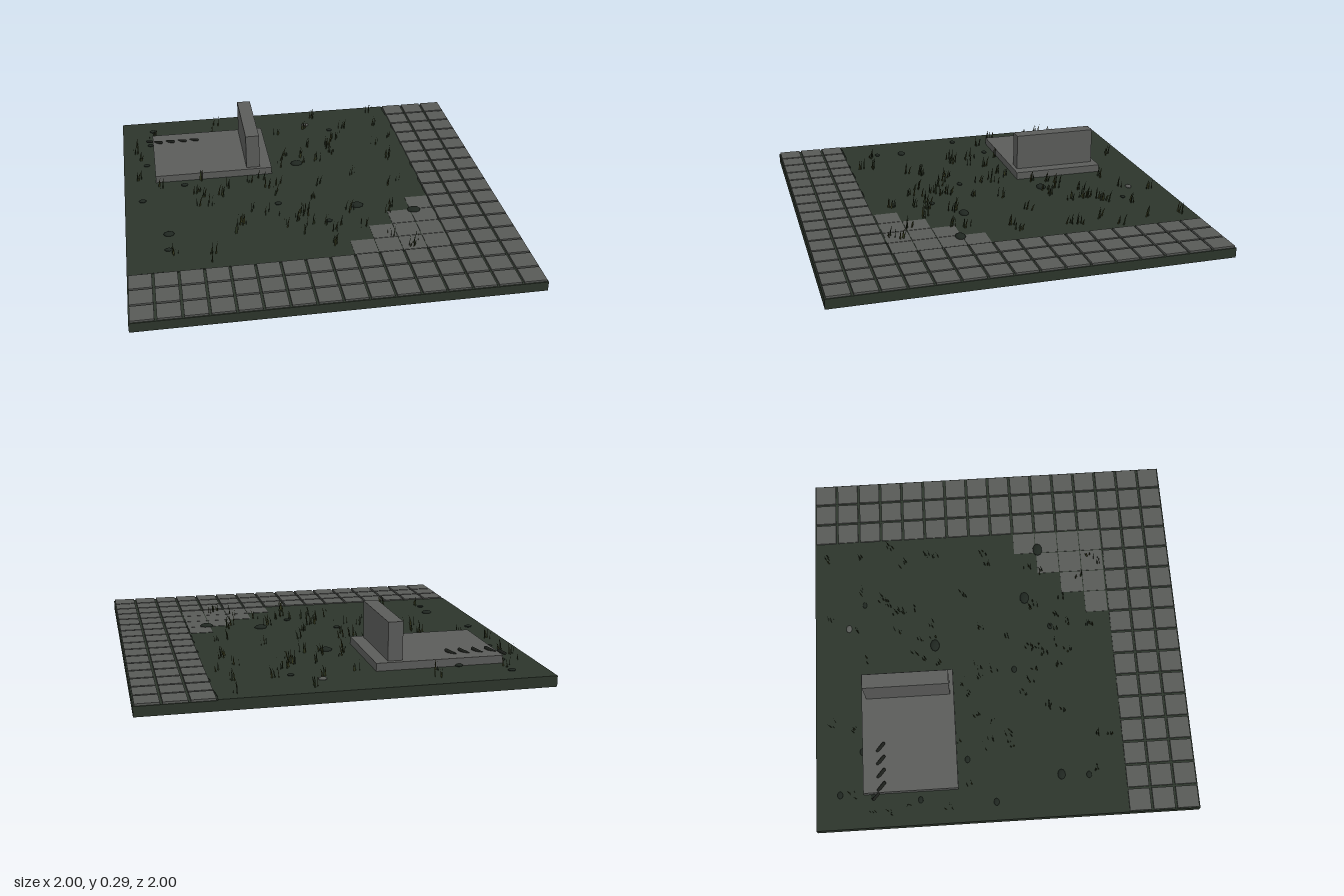
import * as THREE from 'three';
import { mergeGeometries } from 'three/addons/utils/BufferGeometryUtils.js';

const mat = (name, color, side = THREE.FrontSide) => {
  const m = new THREE.MeshStandardMaterial({ color, side });
  m.name = name;
  return m;
};

export function createModel() {
  const group = new THREE.Group();
  const earth = mat('dark moss', 0x2c352b);
  const paving = mat('paving grey', 0x585a57);
  const slabGrey = mat('slab grey', 0x5b5c5a);
  const pebble = mat('dark pebble', 0x1f2620);
  const finger = mat('dark finger', 0x1c1f1b);
  const olive = mat('olive grass', 0x35381c, THREE.DoubleSide);
  const green = mat('green grass', 0x26301c, THREE.DoubleSide);

  const add = (name, geometry, material) => {
    const mesh = new THREE.Mesh(geometry, material);
    mesh.name = name;
    group.add(mesh);
    return mesh;
  };
  // Box given by its low and high corners
  const box = (x0, y0, z0, x1, y1, z1) =>
    new THREE.BoxGeometry(x1 - x0, y1 - y0, z1 - z0)
      .translate((x0 + x1) / 2, (y0 + y1) / 2, (z0 + z1) / 2);

  let seed = 17;
  const rand = () => {
    seed = (seed * 16807) % 2147483647;
    return seed / 2147483647;
  };

  // Ground plate and raised soil with a ragged edge
  add('basePlate', box(-1, 0, -1, 1, 0.05, 1), earth);
  const edge = new THREE.Shape();
  edge.moveTo(-1, 1);
  edge.lineTo(0.625, 1);
  for (let z = -0.95; z < 0.6; z += 0.06) edge.lineTo(0.622 + rand() * 0.014, -z);
  for (let x = 0.62; x > -0.97; x -= 0.06) edge.lineTo(x, -0.622 - rand() * 0.014);
  edge.lineTo(-1, -0.63);
  const soil = new THREE.ExtrudeGeometry(edge, { depth: 0.006, bevelEnabled: false });
  add('soil', soil.rotateX(-Math.PI / 2).translate(0, 0.049, 0), earth);

  // Paving along two sides, with a stepped inner corner
  const tiles = [], steps = [];
  const p = 0.125;
  for (let i = 0; i < 16; i++) {
    for (let j = 0; j < 16; j++) {
      const x = -1 + i * p, z = -1 + j * p;
      if (i >= 13 || j >= 13) {
        tiles.push(box(x + 0.006, 0.045, z + 0.006, x + p - 0.006, 0.06, z + p - 0.006));
      } else if (i + j >= 21) {
        steps.push(box(x + 0.002, 0.045, z + 0.002, x + p - 0.002, 0.057, z + p - 0.002));
      }
    }
  }
  add('pavingTiles', mergeGeometries(tiles), paving);
  add('cornerTiles', mergeGeometries(steps), paving);

  // Flat slab with an upright stone
  add('graveSlab', box(-0.825, 0.05, -0.75, -0.175, 0.095, -0.255), slabGrey);
  add('uprightStone', box(-0.315, 0.09, -0.725, -0.24, 0.29, -0.275), slabGrey);

  // Slanted fingers lying over the corner of the slab
  const fingerDir = new THREE.Vector3(0.05, 0.022, 0.05).normalize();
  const addFinger = (x, y, z, length, radius) => {
    const f = add('finger', new THREE.CapsuleGeometry(radius, length, 4, 8), finger);
    f.quaternion.setFromUnitVectors(new THREE.Vector3(0, 1, 0), fingerDir);
    f.position.set(x, y, z);
  };
  for (let i = 0; i < 4; i++) addFinger(-0.795 + i * 0.07, 0.098, -0.655, 0.05, 0.009);
  addFinger(-0.845, 0.092, -0.685, 0.035, 0.008);

  // Scattered pebbles: x, z, radius
  const pebbles = [
    [-0.02, -0.345, 0.034], [0.23, 0.165, 0.034], [0.52, 0.26, 0.036], [-0.78, 0.29, 0.028],
    [-0.82, -0.875, 0.02], [-0.87, -0.455, 0.018], [-0.67, -0.2, 0.019], [-0.905, -0.06, 0.02],
    [-0.185, 0.08, 0.019], [0.055, 0.295, 0.018], [-0.79, 0.435, 0.019], [0.24, -0.725, 0.017],
    [-0.595, -0.753, 0.02], [-0.84, -0.7, 0.018],
  ];
  const stone = (x, z, r, material) => {
    const s = add('pebble', new THREE.SphereGeometry(1, 10, 7), material);
    s.scale.set(r, r * 0.4, r * 0.75);
    s.position.set(x, 0.059, z);
  };
  pebbles.forEach(([x, z, r]) => stone(x, z, r, pebble));
  stone(0.105, -0.815, 0.022, paving);

  // Tufts of thin upright blades, leaning within their own plane
  const blades = [[], []];
  for (let t = 0; t < 88; t++) {
    const cx = -0.94 + rand() * 1.52, cz = -0.93 + rand() * 1.52;
    const onSlab = cx > -0.84 && cx < -0.16 && cz > -0.77 && cz < -0.24;
    if (onSlab) continue;
    for (let b = 0; b < 4; b++) {
      const x = cx + (rand() - 0.5) * 0.04, z = cz + (rand() - 0.5) * 0.04;
      const h = 0.035 + rand() * 0.04, w = 0.004;
      const lean = 0.002 + rand() * 0.018, turn = rand() * Math.PI / 2;
      const blade = new THREE.BufferGeometry();
      blade.setAttribute('position', new THREE.Float32BufferAttribute(
        [-w, 0, 0, w, 0, 0, w * 0.7 + lean * 0.4, h * 0.6, 0,
          -w * 0.7 + lean * 0.4, h * 0.6, 0, lean, h, 0], 3));
      blade.setIndex([0, 1, 2, 0, 2, 3, 3, 2, 4]);
      blade.computeVertexNormals();
      blades[b % 2].push(blade.rotateY(turn).translate(x, 0.052, z));
    }
  }
  add('oliveGrass', mergeGeometries(blades[0]), olive);
  add('greenGrass', mergeGeometries(blades[1]), green);

  return group;
}
